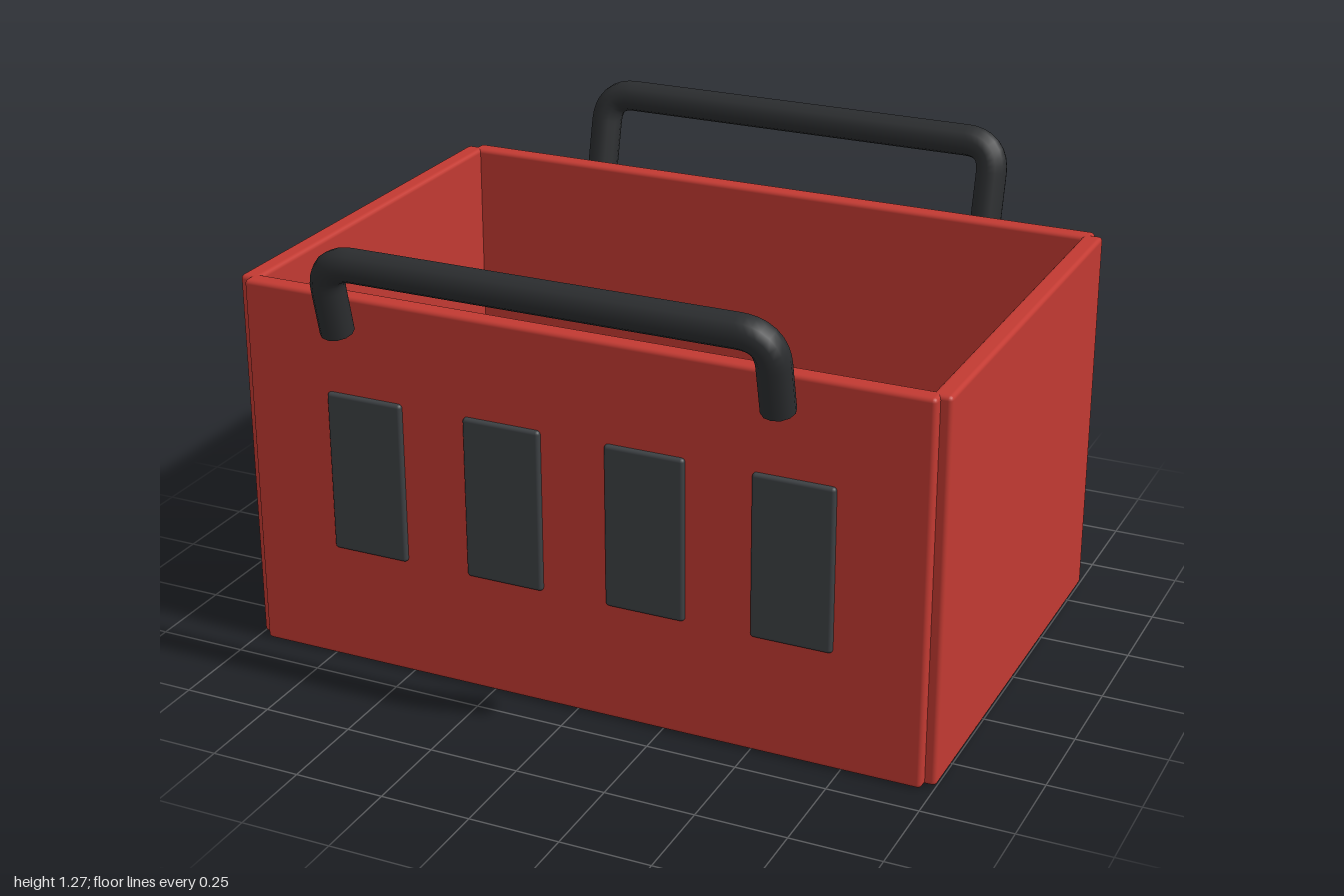
import * as THREE from 'three';
import { RoundedBoxGeometry } from 'three/addons/geometries/RoundedBoxGeometry.js';

const RED = new THREE.MeshStandardMaterial({ color: 0xc23a32 });
const SLATE = new THREE.MeshStandardMaterial({ color: 0x3d4144 });
const BLACK = new THREE.MeshStandardMaterial({ color: 0x2b2d2f });

function addBox(parent, name, size, pos, material, radius = 0.012) {
  const mesh = new THREE.Mesh(new RoundedBoxGeometry(...size, 2, radius), material);
  mesh.name = name;
  mesh.position.set(...pos);
  parent.add(mesh);
}

// U-shaped bar standing on its two leg ends, in the xy plane
function createHandle(name) {
  const group = new THREE.Group();
  group.name = name;
  const x = 0.613, top = 0.214, bend = 0.085, radius = 0.045;
  const v = (a, b) => new THREE.Vector3(a, b, 0);
  const path = new THREE.CurvePath();
  path.add(new THREE.LineCurve3(v(-x, 0), v(-x, top - bend)));
  path.add(new THREE.QuadraticBezierCurve3(v(-x, top - bend), v(-x, top), v(-x + bend, top)));
  path.add(new THREE.LineCurve3(v(-x + bend, top), v(x - bend, top)));
  path.add(new THREE.QuadraticBezierCurve3(v(x - bend, top), v(x, top), v(x, top - bend)));
  path.add(new THREE.LineCurve3(v(x, top - bend), v(x, 0)));
  const bar = new THREE.Mesh(new THREE.TubeGeometry(path, 96, radius, 12), BLACK);
  bar.name = 'handleBar';
  group.add(bar);
  // Closed leg ends
  for (const side of [-1, 1]) {
    const cap = new THREE.Mesh(new THREE.CircleGeometry(radius, 12), BLACK);
    cap.name = 'handleEnd';
    cap.rotation.x = Math.PI / 2;
    cap.position.x = side * x;
    group.add(cap);
  }
  return group;
}

export function createModel() {
  const model = new THREE.Group();
  model.name = 'crate';
  const height = 1.07;

  addBox(model, 'floor', [1.9, 0.055, 1.21], [0, 0.0325, 0], RED);

  // End walls, left and right
  for (const side of [-1, 1]) {
    addBox(model, side > 0 ? 'leftWall' : 'rightWall',
      [0.055, height, 1.255], [side * 0.9725, height / 2, 0], RED);
  }

  // Long walls with their panels and handles, front and back
  for (const side of [-1, 1]) {
    const end = side > 0 ? 'front' : 'back';
    addBox(model, end + 'Wall', [1.94, height, 0.055], [0, height / 2, side * 0.628], RED);
    for (let i = 0; i < 4; i++) {
      addBox(model, end + 'Panel', [0.224, 0.458, 0.04],
        [(i - 1.5) * 0.408, 0.565, side * 0.648], SLATE, 0.01);
    }
    const handle = createHandle(end + 'Handle');
    handle.position.set(0, 1.023, side * 0.77);
    handle.rotation.x = side * 0.235;
    model.add(handle);
  }
  return model;
}
